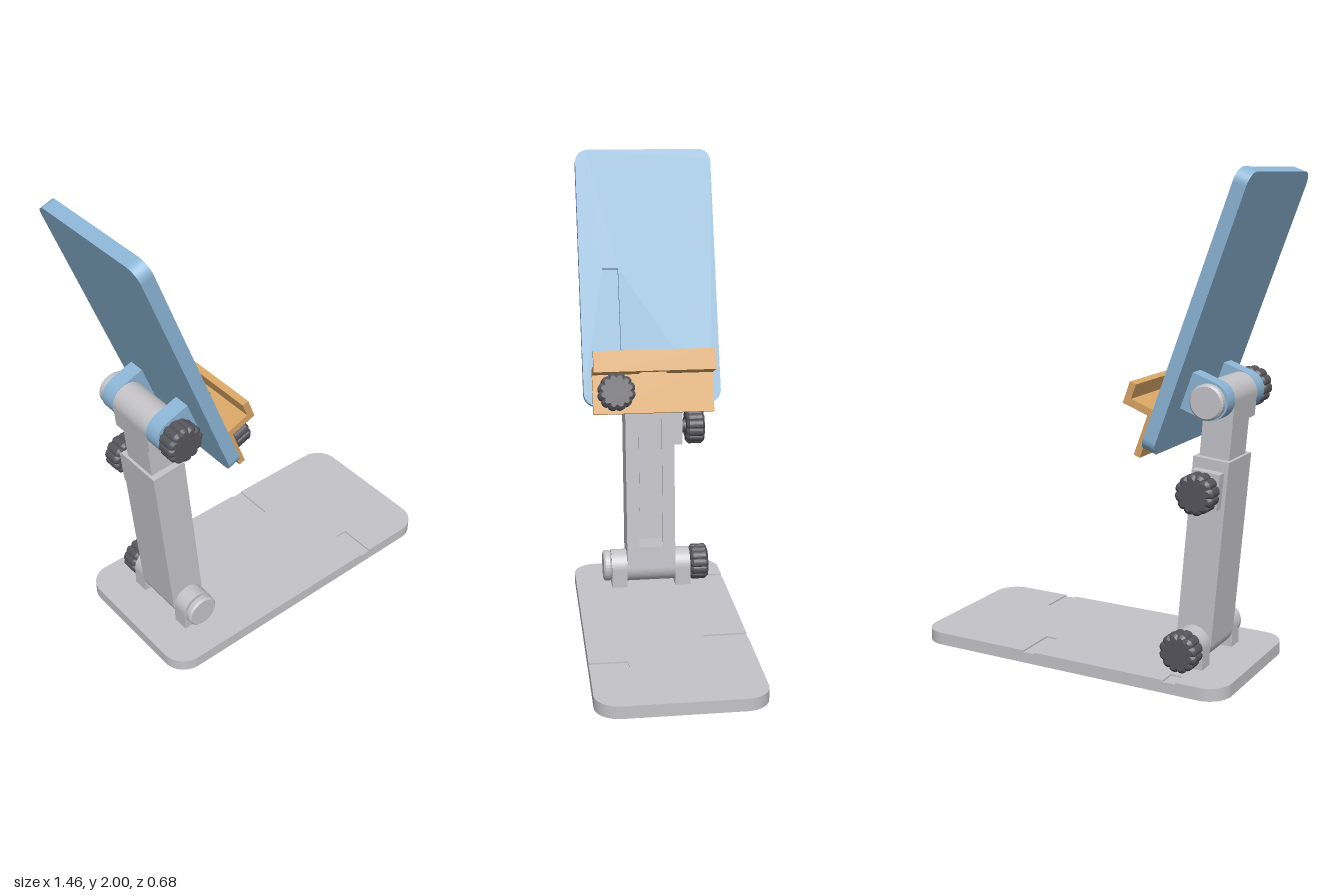
import * as THREE from 'three';

const mat = (name, color) => {
  const m = new THREE.MeshStandardMaterial({ color });
  m.name = name;
  return m;
};

export function createModel() {
  const root = new THREE.Group();
  const grey = mat('light grey', 0xc4c4c8);
  const blue = mat('soft blue', 0x8cb6d6);
  const orange = mat('warm tan', 0xd9a665);
  const dark = mat('dark grey', 0x55555c);

  const add = (parent, name, geo, m, x = 0, y = 0, z = 0) => {
    const mesh = new THREE.Mesh(geo, m);
    mesh.name = name;
    mesh.position.set(x, y, z);
    parent.add(mesh);
    return mesh;
  };
  // box given by its limits
  const box = (parent, name, m, x0, x1, y0, y1, z0, z1) =>
    add(parent, name, new THREE.BoxGeometry(x1 - x0, y1 - y0, z1 - z0), m,
      (x0 + x1) / 2, (y0 + y1) / 2, (z0 + z1) / 2);
  const extrude = (shape, depth, bevel = 0) => new THREE.ExtrudeGeometry(shape, {
    depth: depth - 2 * bevel, bevelEnabled: bevel > 0, bevelSize: bevel,
    bevelThickness: bevel, bevelOffset: -bevel, bevelSegments: 1, curveSegments: 16,
  }).translate(0, 0, bevel);
  // rounded rectangle; notches are [x, depth, side] cuts in the long edges
  const roundRect = (x0, x1, y0, y1, r, notches = []) => {
    const s = new THREE.Shape(), w = 0.026;
    s.moveTo(x0 + r, y0);
    notches.filter(n => n[2] < 0).forEach(([x, d]) => {
      s.lineTo(x - w, y0); s.lineTo(x - w, y0 + d); s.lineTo(x + w, y0 + d); s.lineTo(x + w, y0);
    });
    s.lineTo(x1 - r, y0); s.absarc(x1 - r, y0 + r, r, -Math.PI / 2, 0);
    s.lineTo(x1, y1 - r); s.absarc(x1 - r, y1 - r, r, 0, Math.PI / 2);
    notches.filter(n => n[2] > 0).forEach(([x, d]) => {
      s.lineTo(x + w, y1); s.lineTo(x + w, y1 - d); s.lineTo(x - w, y1 - d); s.lineTo(x - w, y1);
    });
    s.lineTo(x0 + r, y1); s.absarc(x0 + r, y1 - r, r, Math.PI / 2, Math.PI);
    s.lineTo(x0, y0 + r); s.absarc(x0 + r, y0 + r, r, Math.PI, 1.5 * Math.PI);
    return s;
  };
  // hinge ear: round end at the origin, straight foot of given length below
  const ear = (r, foot) => {
    const s = new THREE.Shape();
    s.moveTo(-r, -foot); s.lineTo(r, -foot); s.lineTo(r, 0);
    s.absarc(0, 0, r, 0, Math.PI);
    s.lineTo(-r, -foot);
    return s;
  };
  // scalloped hand knob along +z, with its screw shaft behind it
  const knob = (parent, name, x, y, z, turn = 0) => {
    const g = new THREE.Group();
    g.name = name;
    g.position.set(x, y, z);
    g.rotation.y = turn;
    const s = new THREE.Shape(), n = 96;
    for (let i = 0; i < n; i++) {
      const a = i / n * Math.PI * 2, r = 0.073 + 0.008 * Math.sqrt(Math.abs(Math.sin(a * 6)));
      s[i ? 'lineTo' : 'moveTo'](r * Math.cos(a), r * Math.sin(a));
    }
    add(g, 'grip', extrude(s, 0.082, 0.012), dark);
    add(g, 'screw', new THREE.CylinderGeometry(0.03, 0.03, 0.05, 24).rotateX(Math.PI / 2), dark, 0, 0, -0.02);
    parent.add(g);
  };
  // round chamfered hinge cap along +z
  const cap = (parent, name, x, y, z) => {
    const s = new THREE.Shape();
    s.absarc(0, 0, 0.07, 0, Math.PI * 2);
    add(parent, name, extrude(s, 0.036, 0.008), grey, x, y, z);
  };

  // base slab: underside layer with foot recesses, core, top layer with edge grooves
  const base = new THREE.Group();
  base.name = 'base';
  root.add(base);
  const layer = (name, shape, y0, y1) =>
    add(base, name, extrude(shape, y1 - y0).rotateX(-Math.PI / 2), grey, 0, y0, 0);
  const under = roundRect(-0.67, 0.73, -0.34, 0.34, 0.1);
  for (const x of [-0.57, 0.63]) for (const z of [-0.24, 0.24]) {
    const h = new THREE.Path();
    h.absarc(x, z, 0.04, 0, Math.PI * 2, true);
    under.holes.push(h);
  }
  layer('undersideLayer', under, 0, 0.008);
  layer('core', roundRect(-0.67, 0.73, -0.34, 0.34, 0.1), 0.008, 0.045);
  layer('topLayer', roundRect(-0.67, 0.73, -0.34, 0.34, 0.1,
    [[0.39, 0.16, -1], [0.19, 0.185, 1], [-0.45, 0.07, 1]]), 0.045, 0.052);

  // lower hinge
  const hx = -0.445, hy = 0.135;
  for (const z of [-0.18, 0.11]) add(base, 'baseEar', extrude(ear(0.072, 0.085), 0.07), grey, hx, hy, z);
  cap(base, 'lowerHingeCap', hx, hy, 0.18);
  knob(base, 'lowerHingeKnob', hx, hy, -0.183, Math.PI);

  // telescopic post, leaning back; local origin on the lower hinge axis
  const post = new THREE.Group();
  post.name = 'post';
  post.position.set(hx, hy, 0);
  post.rotation.z = 0.0853;
  root.add(post);
  add(post, 'postFoot', extrude(ear(0.074, 0).closePath ? ear(0.074, 0.001) : ear(0.074, 0.001), 0.22)
    .rotateZ(Math.PI), grey, 0, 0, -0.11);
  box(post, 'postBlock', grey, -0.076, 0.076, 0, 0.1, -0.11, 0.11);
  box(post, 'sleeveBack', grey, -0.076, -0.064, 0.1, 0.758, -0.11, 0.11);
  for (const s of [-1, 1]) {
    const [a, b] = s > 0 ? [0.082, 0.11] : [-0.11, -0.082];
    box(post, 'sleeveSide', grey, -0.064, 0.064, 0.1, 0.758, a, b);
    const [c, d] = s > 0 ? [0.054, 0.11] : [-0.11, -0.054];
    box(post, 'sleeveFront', grey, 0.064, 0.076, 0.1, 0.758, c, d);
  }
  box(post, 'innerPost', grey, -0.063, 0.063, 0.266, 0.92, -0.08, 0.08);
  box(post, 'innerRail', grey, 0.06, 0.07, 0.266, 0.92, -0.05, 0.05);
  add(post, 'postHead', extrude(ear(0.074, 0.09), 0.22), grey, 0, 0.999, -0.11);
  box(post, 'heightClampBoss', grey, -0.06, 0.06, 0.57, 0.715, -0.15, -0.11);
  knob(post, 'heightKnob', 0, 0.643, -0.17, Math.PI);

  // tilted holder: local x = outward normal, local y = up along the plate
  const holder = new THREE.Group();
  holder.name = 'holder';
  holder.position.set(-0.345, 0.92, 0);
  holder.rotation.z = THREE.MathUtils.degToRad(20);
  root.add(holder);
  const slab = roundRect(-0.3, 0.3, 0, 1.13, 0.055);
  add(holder, 'plateBack', extrude(slab, 0.03).rotateY(Math.PI / 2), blue);
  const slotted = roundRect(-0.3, 0.3, 0, 1.13, 0.055);
  const slot = new THREE.Path();
  slot.moveTo(-0.2, 0.03); slot.lineTo(-0.2, 0.6); slot.lineTo(-0.13, 0.6); slot.lineTo(-0.13, 0.03);
  slot.closePath();
  slotted.holes.push(slot);
  add(holder, 'plateFront', extrude(slotted, 0.025).rotateY(Math.PI / 2), blue, 0.03);

  // upper hinge
  const ux = -0.102, uy = 0.261;
  for (const z of [-0.18, 0.11]) {
    add(holder, 'plateEar', extrude(ear(0.076, 0.103).clone(), 0.07).rotateZ(Math.PI / 2), blue, ux, uy, z);
  }
  cap(holder, 'upperHingeCap', ux, uy, -0.216);
  knob(holder, 'upperHingeKnob', ux, uy, 0.183);

  // sliding ledge with a cable opening
  const ledge = new THREE.Group();
  ledge.name = 'ledge';
  holder.add(ledge);
  const zr = 0.263;
  box(ledge, 'ledgeBack', orange, 0.056, 0.084, -0.04, 0.16, -zr, zr);
  box(ledge, 'ledgeLip', orange, 0.17, 0.198, 0.13, 0.221, -zr, zr);
  box(ledge, 'shelfFront', orange, 0.152, 0.17, 0.13, 0.16, -zr, zr);
  box(ledge, 'shelfLeft', orange, 0.084, 0.152, 0.13, 0.16, 0.06, zr);
  box(ledge, 'shelfRight', orange, 0.084, 0.152, 0.13, 0.16, -zr, -0.06);
  knob(ledge, 'ledgeKnob', 0.087, 0.051, 0.165, Math.PI / 2);

  return root;
}
